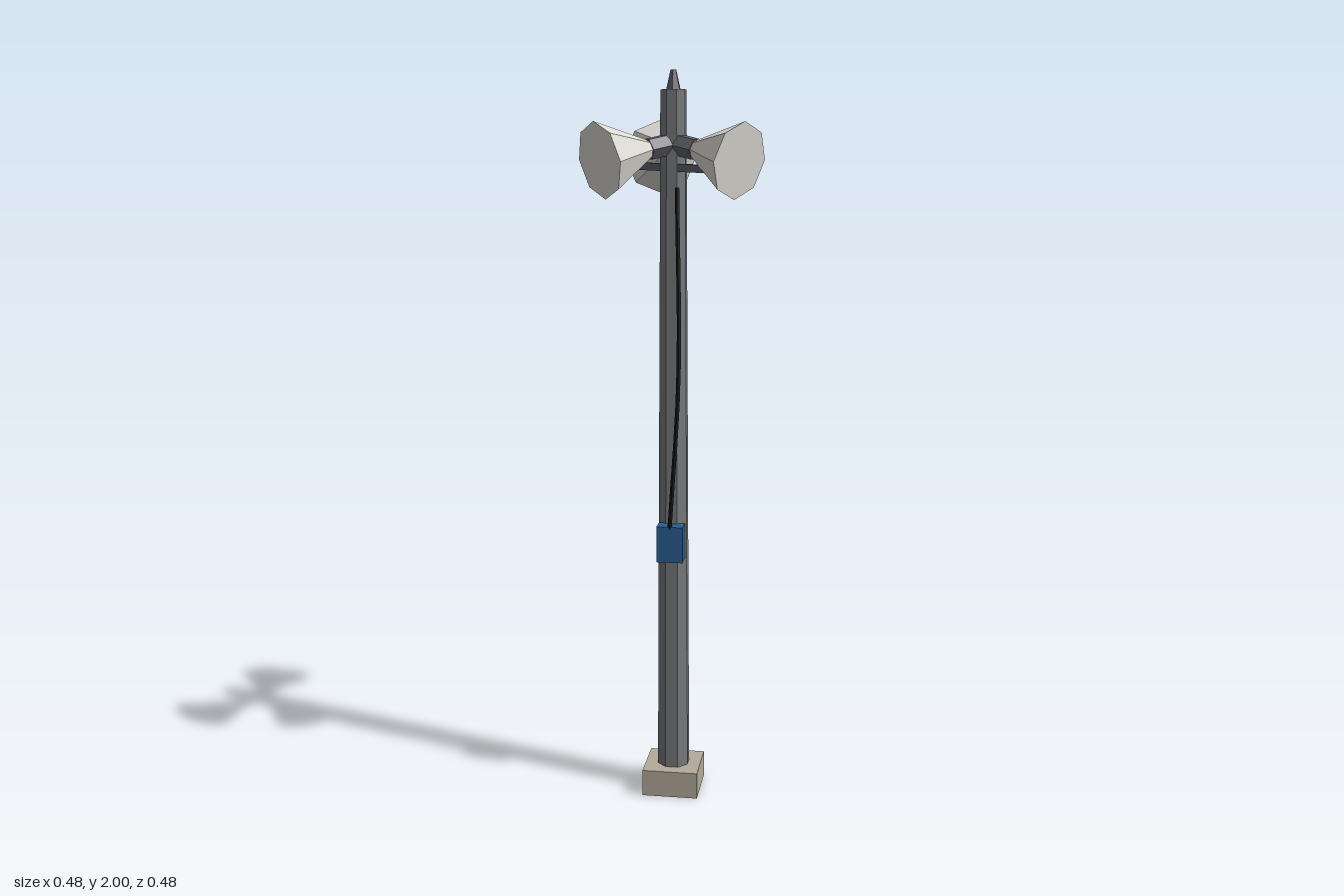
import * as THREE from 'three';

const mat = (color) => new THREE.MeshStandardMaterial({ color, flatShading: true });

export function createModel() {
  const root = new THREE.Group();
  const concrete = mat(0xb5ab9b), steel = mat(0x77797b), darkSteel = mat(0x62636c);
  const hornPaint = mat(0xdedcd5), blue = mat(0x2b5f92), black = mat(0x151515);

  const add = (parent, name, geometry, material, x = 0, y = 0, z = 0) => {
    const mesh = new THREE.Mesh(geometry, material);
    mesh.name = name;
    mesh.position.set(x, y, z);
    parent.add(mesh);
    return mesh;
  };

  // Everything is set around the pole axis
  const mast = new THREE.Group();
  mast.name = 'mast';
  mast.position.set(-0.005, 0, 0.01);
  root.add(mast);

  // Footing, tapered octagonal pole and cap
  add(mast, 'footing', new THREE.BoxGeometry(0.155, 0.075, 0.155), concrete, 0, 0.0375, 0);
  add(mast, 'pole', new THREE.CylinderGeometry(0.035, 0.046, 1.89, 8).rotateY(Math.PI / 8), steel, 0, 1.005, 0);
  add(mast, 'poleCap', new THREE.CylinderGeometry(0.008, 0.02, 0.05, 6), darkSteel, 0, 1.975, 0);

  // Diagonal cross bar below the horns
  const bar = add(mast, 'crossBar', new THREE.BoxGeometry(0.022, 0.02, 0.285), darkSteel, 0, 1.75, 0);
  bar.rotation.y = Math.PI / 4;

  // Three horns, tilted slightly down
  const neckGeometry = new THREE.CylinderGeometry(0.03, 0.03, 0.06, 6).rotateY(Math.PI / 6).rotateX(Math.PI / 2);
  const hornGeometry = new THREE.CylinderGeometry(0.1, 0.024, 0.152, 8).rotateX(Math.PI / 2);
  for (const degrees of [55.6, 197.6, 313]) {
    const horn = new THREE.Group();
    horn.name = 'horn';
    horn.position.y = 1.812;
    horn.rotation.set(THREE.MathUtils.degToRad(10), THREE.MathUtils.degToRad(degrees), 0, 'YXZ');
    add(horn, 'hornDriver', neckGeometry, darkSteel, 0, 0, 0.053);
    add(horn, 'hornBell', hornGeometry, hornPaint, 0, 0, 0.156);
    mast.add(horn);
  }

  // Control box and its feed cable
  add(root, 'controlBox', new THREE.BoxGeometry(0.072, 0.1, 0.046), blue, -0.005, 0.74, 0.064);
  const path = new THREE.CatmullRomCurve3([
    new THREE.Vector3(-0.005, 0.785, 0.082),
    new THREE.Vector3(0.018, 1.2, 0.072),
    new THREE.Vector3(0.012, 1.7, 0.058),
  ]);
  add(root, 'cable', new THREE.TubeGeometry(path, 8, 0.006, 5), black);

  return root;
}
